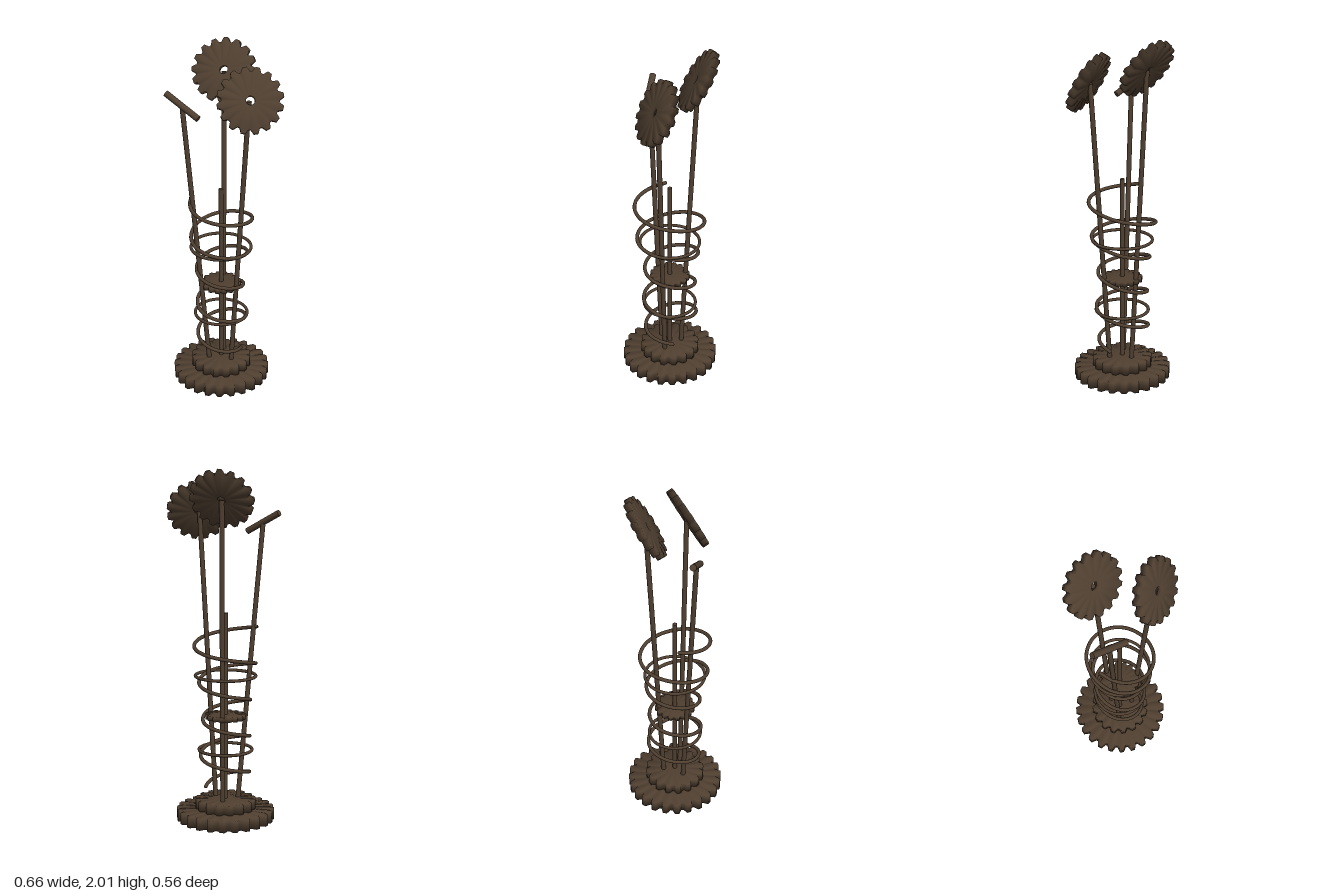
import * as THREE from 'three';

const bronze = new THREE.MeshStandardMaterial({ color: 0x4f3f30 });
bronze.name = 'darkBronze';
const CX = -0.03; // x of the central axis
const V = (x, y, z) => new THREE.Vector3(x, y, z);
const UP = V(0, 1, 0);

// Toothed disc around y, centred on its origin, with a round bore; smooth shared normals
function gearGeometry(radius, valley, teeth, height, bore, phase = 0) {
  const pos = [], index = [];
  const tooth = [[-0.17, radius], [0.17, radius], [0.4, valley], [0.6, valley]];
  const n = teeth * 4, h = height / 2;
  for (let i = 0; i < n; i++) {
    const [offset, r] = tooth[i % 4];
    const a = phase + ((Math.floor(i / 4) + offset) / teeth) * Math.PI * 2;
    const c = Math.cos(a), s = Math.sin(a);
    for (const [rr, y] of [[bore, h], [r, h], [r, -h], [bore, -h]]) pos.push(c * rr, y, s * rr);
  }
  for (let i = 0; i < n; i++) {
    const p = i * 4, q = ((i + 1) % n) * 4;
    for (let j = 0; j < 4; j++) {
      const k = (j + 1) % 4;
      index.push(p + j, q + k, p + k, p + j, q + j, q + k);
    }
  }
  const g = new THREE.BufferGeometry();
  g.setAttribute('position', new THREE.Float32BufferAttribute(pos, 3));
  g.setIndex(index);
  g.computeVertexNormals();
  return g;
}

export function createModel() {
  const model = new THREE.Group();
  model.name = 'gearFlowerSculpture';
  const add = (name, geometry, position = V(0, 0, 0), axis = UP) => {
    const mesh = new THREE.Mesh(geometry, bronze);
    mesh.name = name;
    mesh.position.copy(position);
    mesh.quaternion.setFromUnitVectors(UP, axis.clone().normalize());
    model.add(mesh);
    return mesh;
  };
  const rod = (name, from, to, r) => {
    const d = to.clone().sub(from);
    add(name, new THREE.CylinderGeometry(r, r, d.length(), 16), from.clone().add(to).multiplyScalar(0.5), d);
  };

  // Stacked base gears, and the small gear halfway up the centre rod
  add('baseGear', gearGeometry(0.28, 0.25, 24, 0.065, 0.012, 0.09), V(CX, 0.0325, 0));
  add('upperBaseGear', gearGeometry(0.174, 0.153, 16, 0.055, 0.012), V(CX, 0.0925, 0));
  add('middleGear', gearGeometry(0.116, 0.102, 16, 0.026, 0.012), V(CX, 0.603, 0));
  rod('centreRod', V(CX, 0.001, 0), V(CX, 1.2, 0), 0.013);

  // Three splayed stems
  rod('backStem', V(CX, 0.1, -0.068), V(-0.045, 1.835, -0.156), 0.014);
  rod('rightStem', V(-0.093, 0.1, 0.04), V(-0.225, 1.705, 0.085), 0.014);
  rod('leftStem', V(0.037, 0.1, 0.04), V(0.143, 1.76, 0.088), 0.014);

  // Heads on the stems: two gear flowers and a crossbar
  const flower = gearGeometry(0.18, 0.155, 16, 0.038, 0.024);
  add('backFlowerGear', flower, V(-0.045, 1.843, -0.156), V(-0.05, 0.53, 0.85));
  add('leftFlowerGear', flower, V(0.15, 1.767, 0.094), V(0.2, 0.46, 0.86));
  rod('crossbar', V(-0.322, 1.76, 0.052), V(-0.128, 1.652, 0.12), 0.018);

  // Horizontal hoops
  for (const [name, y, r] of [['lowerHoop', 0.41, 0.152], ['upperHoop', 0.84, 0.172]]) {
    const g = new THREE.TorusGeometry(r, 0.009, 10, 64);
    g.rotateX(Math.PI / 2);
    add(name, g, V(CX, y, 0));
  }

  // Wire spiral: one radius for every quarter turn, four and a half turns
  const radii = [0.118, 0.145, 0.137, 0.158, 0.142, 0.155, 0.137, 0.15, 0.128, 0.146,
    0.142, 0.165, 0.15, 0.188, 0.17, 0.199, 0.176, 0.2, 0.173];
  const points = [], steps = (radii.length - 1) * 4;
  for (let i = 0; i <= steps; i++) {
    const q = i / 4, k = Math.min(Math.floor(q), radii.length - 2);
    const r = THREE.MathUtils.lerp(radii[k], radii[k + 1], THREE.MathUtils.smoothstep(q - k, 0, 1));
    const a = (q * Math.PI) / 2;
    points.push(V(CX + r * Math.cos(a), 0.18 + (0.95 * i) / steps, r * Math.sin(a)));
  }
  add('wireSpiral', new THREE.TubeGeometry(new THREE.CatmullRomCurve3(points), 280, 0.0105, 10));
  points.length && [points[0], points[steps]].forEach((p) => add('spiralEnd', new THREE.SphereGeometry(0.0105, 10, 8), p));

  return model;
}
